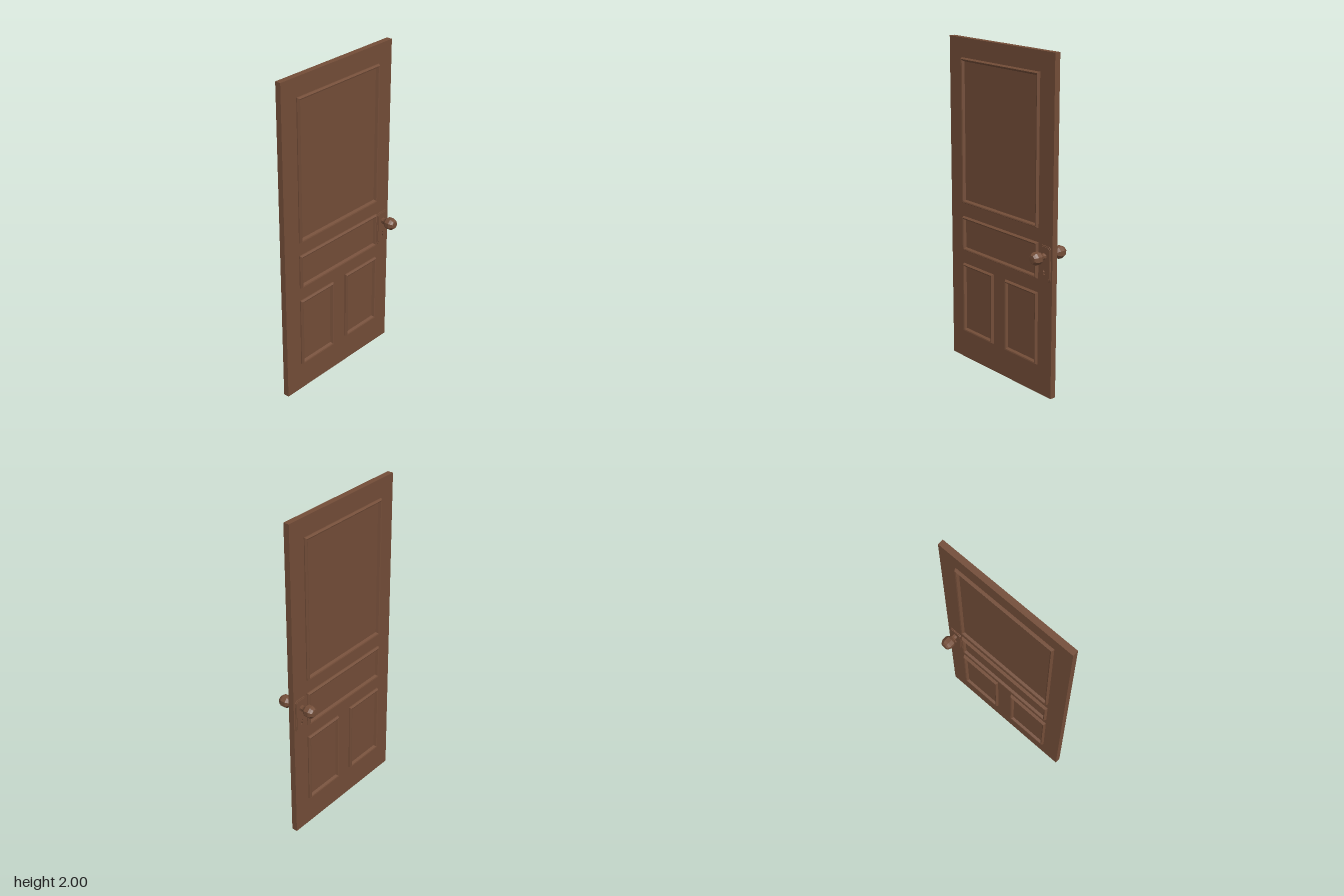
import * as THREE from 'three';

const HALF = 0.018; // half thickness of the door leaf

// Mitred rectangular moulding: each profile step is [inset, height above the leaf centre]
function mouldingGeometry(u0, u1, v0, v1) {
  const profile = [[0, HALF - 0.002], [0, 0.024], [0.007, 0.035], [0.014, 0.033], [0.022, HALF - 0.002]];
  const rings = profile.map(([d, w]) => [
    [u0 + d, v0 + d, w], [u1 - d, v0 + d, w], [u1 - d, v1 - d, w], [u0 + d, v1 - d, w],
  ]);
  const pos = [];
  for (let i = 0; i < rings.length - 1; i++) {
    for (let k = 0; k < 4; k++) {
      const n = (k + 1) % 4;
      const a = rings[i][k], b = rings[i][n], c = rings[i + 1][n], d = rings[i + 1][k];
      pos.push(...a, ...b, ...c, ...a, ...c, ...d);
    }
  }
  const g = new THREE.BufferGeometry();
  g.setAttribute('position', new THREE.Float32BufferAttribute(pos, 3));
  g.computeVertexNormals();
  return g;
}

// Lock plate outline with cut corners and a keyhole
function plateGeometry(halfW, halfH, cut, depth) {
  const s = new THREE.Shape([
    [-halfW + cut, -halfH], [halfW - cut, -halfH], [halfW, -halfH + cut], [halfW, halfH - cut],
    [halfW - cut, halfH], [-halfW + cut, halfH], [-halfW, halfH - cut], [-halfW, -halfH + cut],
  ].map(([x, y]) => new THREE.Vector2(x, y)));
  const hole = [[-0.009, -0.066], [-0.006, -0.052], [-0.01, -0.044], [-0.006, -0.034],
    [0.006, -0.034], [0.01, -0.044], [0.006, -0.052], [0.009, -0.066]];
  s.holes.push(new THREE.Path(hole.map(([x, y]) => new THREE.Vector2(x, y))));
  return new THREE.ExtrudeGeometry(s, { depth, bevelEnabled: false });
}

// Eight-sided knob, turned around its stem
function knobGeometry() {
  const profile = [[0.018, 0.02], [0.018, 0.042], [0.021, 0.052], [0.03, 0.062], [0.037, 0.07],
    [0.038, 0.098], [0.032, 0.111], [0.024, 0.121], [0, 0.122]];
  const g = new THREE.LatheGeometry(profile.map(([r, h]) => new THREE.Vector2(r, h)), 8)
    .rotateY(Math.PI / 8).rotateX(Math.PI / 2).toNonIndexed();
  g.computeVertexNormals();
  return g;
}

export function createModel() {
  const wood = new THREE.MeshStandardMaterial({ color: 0x734d38 });
  wood.name = 'brown wood';
  const door = new THREE.Group();
  door.name = 'door';
  const add = (parent, name, geometry, x = 0, y = 0, z = 0) => {
    const m = new THREE.Mesh(geometry, wood);
    m.name = name;
    m.position.set(x, y, z);
    parent.add(m);
  };

  add(door, 'leaf', new THREE.BoxGeometry(HALF * 2, 2, 0.9), 0, 1, 0);

  // Panel mouldings: across, across, up, up
  const panels = {
    topMoulding: [-0.335, 0.335, 1.01, 1.885],
    middleMoulding: [-0.335, 0.335, 0.71, 0.925],
    lowerMouldingA: [-0.335, -0.055, 0.18, 0.625],
    lowerMouldingB: [0.055, 0.335, 0.18, 0.625],
  };

  // Both faces carry the same fittings; the knob is always at the -z edge
  for (const side of [1, -1]) {
    const face = new THREE.Group();
    face.name = side > 0 ? 'leftFace' : 'rightFace';
    face.rotation.y = side * Math.PI / 2;
    for (const [name, box] of Object.entries(panels)) add(face, name, mouldingGeometry(...box));
    const u = side * 0.393;
    add(face, 'lockPlateBase', plateGeometry(0.045, 0.105, 0.012, 0.006), u, 0.815, HALF - 0.001);
    add(face, 'lockPlateTop', plateGeometry(0.039, 0.099, 0.012, 0.004), u, 0.815, HALF + 0.005);
    add(face, 'knob', knobGeometry(), u, 0.86, 0);
    door.add(face);
  }
  return door;
}
